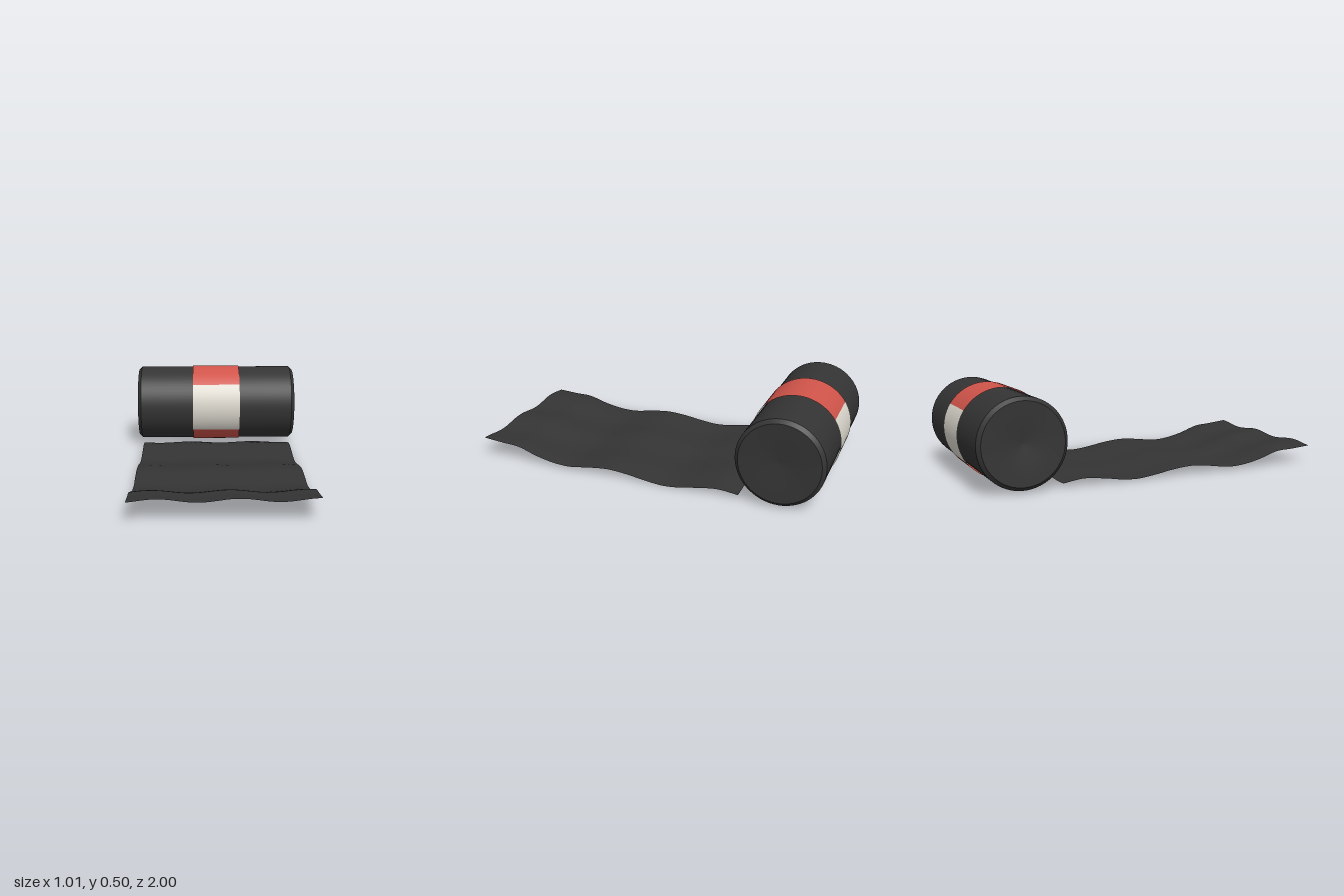
import * as THREE from 'three';

const V2 = (x, y) => new THREE.Vector2(x, y);

export function createModel() {
  const model = new THREE.Group();
  model.name = 'bagRoll';
  const mat = (name, color) => {
    const m = new THREE.MeshStandardMaterial({ color, side: THREE.DoubleSide });
    m.name = name;
    return m;
  };
  const black = mat('blackPlastic', 0x343434);
  const red = mat('redPaper', 0xd0544a);
  const white = mat('whitePaper', 0xdedad0);

  const add = (parent, name, geometry, material) => {
    const mesh = new THREE.Mesh(geometry, material);
    mesh.name = name;
    parent.add(mesh);
    return mesh;
  };

  // Roll lying along x
  const roll = new THREE.Group();
  roll.name = 'roll';
  roll.position.set(0, 0.26, -0.755);
  model.add(roll);

  const R = 0.237;
  add(roll, 'barrel', new THREE.CylinderGeometry(R, R, 0.974, 64, 1, true), black).rotation.z = Math.PI / 2;

  // Chamfered rims and gently dented ends
  for (const side of [1, -1]) {
    const end = new THREE.Group();
    end.name = side > 0 ? 'leftEnd' : 'rightEnd';
    end.rotation.z = -side * Math.PI / 2;
    roll.add(end);
    add(end, 'rim', new THREE.LatheGeometry([V2(R, 0.487), V2(0.217, 0.507)], 64), black);
    add(end, 'cap', new THREE.LatheGeometry(
      [V2(0.217, 0.507), V2(0.15, 0.504), V2(0.09, 0.499), V2(0.045, 0.494), V2(0, 0.49)], 64), black);
  }

  // Paper band: angles run from the front, over the top, to the back
  const sectors = [
    ['frontLabel', -38, 37, white],
    ['topLabel', 37, 147, red],
    ['backLabel', 147, 218, white],
    ['bottomLabel', 218, 322, red],
  ];
  for (const [name, from, to, material] of sectors) {
    const rad = Math.PI / 180;
    const g = new THREE.CylinderGeometry(0.244, 0.244, 0.302, 24, 1, true, from * rad, (to - from) * rad);
    add(roll, name, g, material).rotation.z = Math.PI / 2;
  }

  // Unrolled rippled sheet: profile of [z, y] along its length
  const profile = new THREE.CatmullRomCurve3([
    [-0.535, 0.033], [-0.42, 0.047], [-0.3, 0.034], [-0.2, 0.018], [-0.11, 0.013], [0, 0.026],
    [0.1, 0.043], [0.22, 0.053], [0.34, 0.042], [0.45, 0.027], [0.55, 0.032], [0.66, 0.055],
    [0.78, 0.093], [0.88, 0.101], [1, 0.113],
  ].map(([z, y]) => new THREE.Vector3(0, y, z)));
  const sheet = new THREE.PlaneGeometry(0.93, 1, 30, 80);
  sheet.rotateX(-Math.PI / 2);
  const p = sheet.attributes.position;
  for (let i = 0; i < p.count; i++) {
    const x = p.getX(i);
    const c = profile.getPoint(THREE.MathUtils.clamp(p.getZ(i) + 0.5, 0, 1));
    // Small cross ripples, strongest at the free end
    const amp = 0.004 + 0.005 * THREE.MathUtils.smoothstep(c.z, 0.3, 1);
    const ripple = amp * Math.sin(16 * x + 0.4 + 2.5 * (1 - c.z));
    p.setXYZ(i, x, Math.max(0, c.y + ripple), c.z);
  }
  sheet.computeVertexNormals();
  add(model, 'sheet', sheet, black);

  return model;
}
